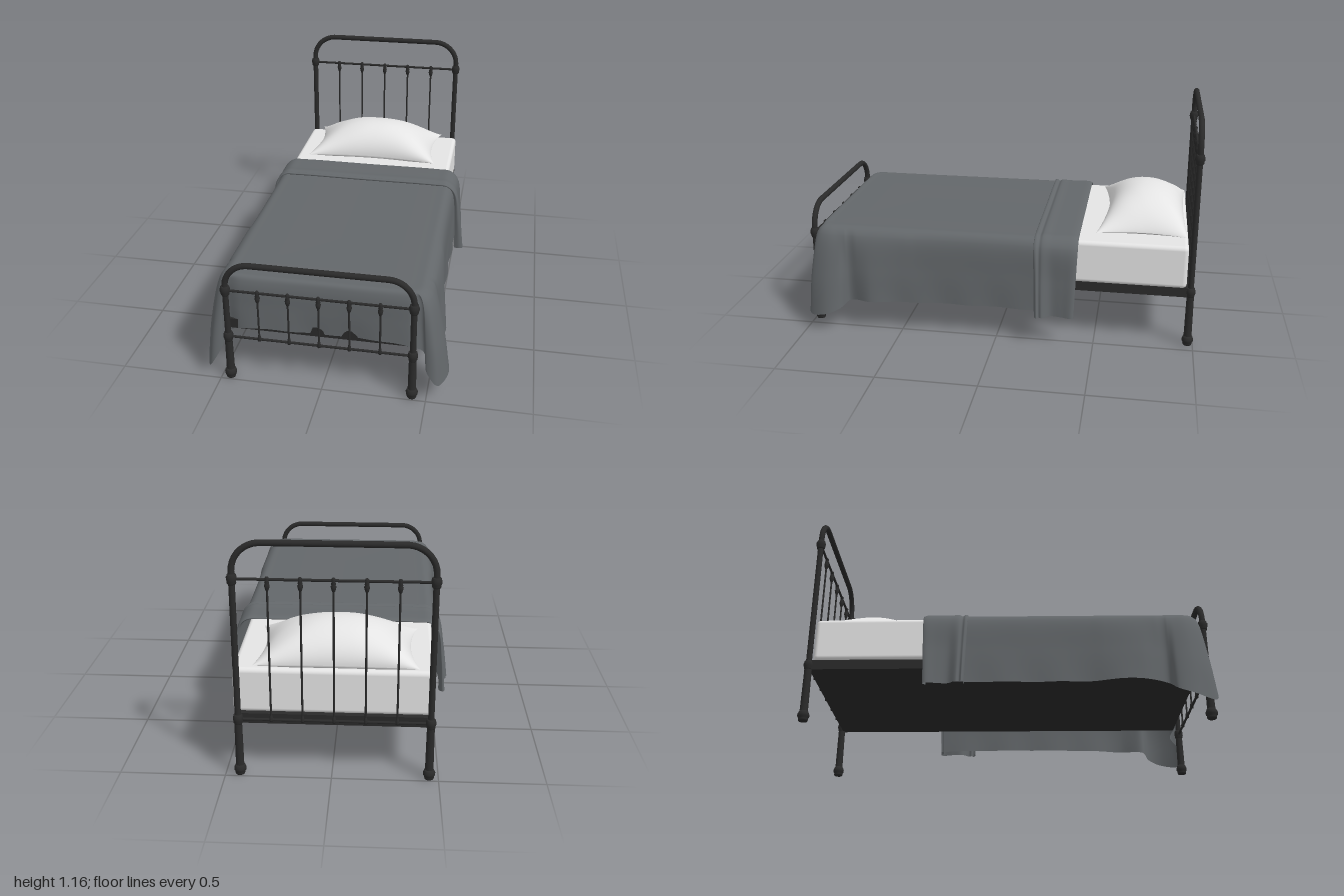
import * as THREE from 'three';
import { RoundedBoxGeometry } from 'three/addons/geometries/RoundedBoxGeometry.js';

const CX = -0.012; // middle of the bedstead
const HALF = 0.444; // post distance from the middle
const V = (x, y, z) => new THREE.Vector3(x, y, z);

const metal = new THREE.MeshStandardMaterial({ name: 'black metal', color: 0x2a2a2a });
const linen = new THREE.MeshStandardMaterial({ name: 'white linen', color: 0xe4e4e4 });
const wool = new THREE.MeshStandardMaterial({ name: 'grey blanket', color: 0x63676a, side: THREE.DoubleSide });

function add(parent, name, geometry, material, x = 0, y = 0, z = 0) {
  const mesh = new THREE.Mesh(geometry, material);
  mesh.name = name;
  mesh.position.set(x, y, z);
  parent.add(mesh);
  return mesh;
}

// Smooth surface from a rule fn(u, v) -> Vector3; faces point along du x dv
function surface(nu, nv, fn) {
  const pos = [], index = [];
  for (let i = 0; i <= nu; i++)
    for (let j = 0; j <= nv; j++) pos.push(...fn(i / nu, j / nv).toArray());
  for (let i = 0; i < nu; i++)
    for (let j = 0; j < nv; j++) {
      const a = i * (nv + 1) + j, b = a + nv + 1;
      index.push(a, b, a + 1, b, b + 1, a + 1);
    }
  const g = new THREE.BufferGeometry();
  g.setAttribute('position', new THREE.Float32BufferAttribute(pos, 3));
  g.setIndex(index);
  g.computeVertexNormals();
  return g;
}

const lathe = (pts, n = 16) => new THREE.LatheGeometry(pts.map(p => new THREE.Vector2(...p)), n);

// Turned fittings
const knuckle = lathe([[0, -0.024], [0.018, -0.024], [0.021, -0.018], [0.021, -0.008], [0.024, -0.004],
  [0.024, 0.01], [0.021, 0.014], [0.021, 0.02], [0.017, 0.024], [0, 0.024]]);
const footKnob = lathe([[0, 0], [0.021, 0], [0.024, 0.008], [0.022, 0.014], [0.028, 0.02], [0.029, 0.032],
  [0.025, 0.042], [0.021, 0.05], [0, 0.05]]);
const finial = lathe([[0.004, -0.055], [0.007, -0.05], [0.011, -0.038], [0.013, -0.026], [0.009, -0.022],
  [0.011, -0.016], [0.009, -0.008], [0.01, 0.006], [0.006, 0.012], [0, 0.013]], 12);
const collar = lathe([[0, -0.011], [0.008, -0.009], [0.01, 0], [0.008, 0.01], [0.006, 0.02], [0.004, 0.026]], 12);

// Head or foot end: bent tube, cross rods, spindles and fittings
function bedEnd(name, z, top, radius, rodY, lowY) {
  const end = new THREE.Group();
  end.name = name;
  end.position.set(CX, 0, z);
  const k = radius * 0.45, bend = top - radius;
  const path = new THREE.CurvePath();
  path.add(new THREE.LineCurve3(V(-HALF, 0.03, 0), V(-HALF, bend, 0)));
  path.add(new THREE.CubicBezierCurve3(V(-HALF, bend, 0), V(-HALF, top - k, 0), V(-HALF + k, top, 0), V(-HALF + radius, top, 0)));
  path.add(new THREE.LineCurve3(V(-HALF + radius, top, 0), V(HALF - radius, top, 0)));
  path.add(new THREE.CubicBezierCurve3(V(HALF - radius, top, 0), V(HALF - k, top, 0), V(HALF, top - k, 0), V(HALF, bend, 0)));
  path.add(new THREE.LineCurve3(V(HALF, bend, 0), V(HALF, 0.03, 0)));
  add(end, 'bentTube', new THREE.TubeGeometry(path, 140, 0.0145, 14), metal);
  for (const s of [-1, 1]) {
    add(end, 'leg', new THREE.CylinderGeometry(0.018, 0.02, lowY - 0.03, 16), metal, s * HALF, lowY / 2 + 0.015);
    add(end, 'footKnob', footKnob, metal, s * HALF);
    add(end, 'upperKnuckle', knuckle, metal, s * HALF, rodY);
    add(end, 'lowerKnuckle', knuckle, metal, s * HALF, lowY);
  }
  for (const y of [rodY, lowY]) {
    const rod = add(end, 'crossRod', new THREE.CylinderGeometry(0.0065, 0.0065, 2 * HALF, 10), metal, 0, y);
    rod.rotation.z = Math.PI / 2;
  }
  for (let i = -2; i <= 2; i++) {
    const x = i * 0.145;
    add(end, 'spindle', new THREE.CylinderGeometry(0.0048, 0.0048, rodY - lowY, 8), metal, x, (rodY + lowY) / 2);
    add(end, 'spindleFinial', finial, metal, x, rodY);
    add(end, 'spindleCollar', collar, metal, x, lowY);
  }
  return end;
}

// Blanket outline, +x half from head to foot: edge x, edge z, hem x, hem y, hem z
const OUTLINE = [
  [0.47, -0.4, 0.525, 0.17, -0.4], [0.47, 0, 0.515, 0.172, 0], [0.47, 0.4, 0.522, 0.17, 0.4],
  [0.47, 0.65, 0.555, 0.17, 0.65], [0.47, 0.78, 0.522, 0.155, 0.77], [0.47, 0.83, 0.578, 0.13, 0.81],
  [0.47, 0.87, 0.592, 0.1, 0.89], [0.46, 0.905, 0.555, 0.085, 0.985], [0.445, 0.915, 0.495, 0.16, 0.98],
  [0.43, 0.92, 0.472, 0.23, 0.93], [0.38, 0.925, 0.4, 0.27, 0.948], [0, 0.925, 0, 0.28, 0.948]];

function blanketGeometry() {
  const mirrored = OUTLINE.slice(0, -1).reverse().map(([ex, ez, hx, hy, hz]) =>
    [-ex, ez, -hx, hy < 0.15 ? hy - 0.025 : hy, hz]);
  const all = [...OUTLINE, ...mirrored];
  const edges = new THREE.CatmullRomCurve3(all.map(p => V(p[0], 0.546, p[1])));
  const hems = new THREE.CatmullRomCurve3(all.map(p => V(p[2], p[3], p[4])));
  const nu = 220;
  const sections = [];
  for (let i = 0; i <= nu; i++) {
    const e = edges.getPoint(i / nu), h = hems.getPoint(i / nu);
    const out = V(h.x - e.x, 0, h.z - e.z);
    const len = out.length();
    out.normalize();
    const shoulder = e.clone().addScaledVector(out, Math.min(0.65 * len, 0.038));
    shoulder.y = 0.51;
    // soft hanging folds
    const wave = 0.005 * Math.sin(h.z * 24 + h.x * 9) + 0.003 * Math.sin(h.x * 31);
    h.addScaledVector(out, wave);
    const mid = shoulder.clone().lerp(h, 0.5).addScaledVector(out, 0.1 * len - wave * 0.5);
    const spine = V(0, 0.55, Math.min(e.z, 0.5));
    const inner = spine.clone().lerp(e, 0.88);
    inner.y = 0.55;
    sections.push(new THREE.CatmullRomCurve3([spine, inner, e, shoulder, mid, h]));
  }
  return surface(nu, 40, (u, v) => sections[Math.round(u * nu)].getPoint(v));
}

// Turned-down band: columns run from head to foot as z, puff, side flare
function foldGeometry() {
  const columns = new THREE.CatmullRomCurve3([
    V(-0.395, -0.008, 0.525), V(-0.412, 0.002, 0.545), V(-0.395, 0.009, 0.555), V(-0.34, 0.01, 0.545),
    V(-0.28, 0.009, 0.54), V(-0.235, 0.011, 0.57), V(-0.218, 0.004, 0.565), V(-0.205, 0.012, 0.575),
    V(-0.192, 0.008, 0.555), V(-0.197, -0.006, 0.525)]);
  return surface(54, 80, (u, v) => {
    const c = columns.getPoint(u), s = v < 0.5 ? -1 : 1;
    const section = new THREE.CatmullRomCurve3([
      V(0, 0.55 + c.y, 0), V(0.4, 0.55 + c.y, 0), V(0.468, 0.545 + c.y, 0), V(0.506 + c.y, 0.51, 0),
      V(0.35 * 0.51 + 0.65 * c.z, 0.34, 0), V(c.z, 0.155 - 0.1 * (c.x + 0.39) * (c.x + 0.2), 0)]);
    const p = section.getPoint(Math.abs(2 * v - 1));
    const taper = THREE.MathUtils.clamp((0.5 - p.y) / 0.35, 0, 1);
    return V(s * p.x, p.y, c.x - 0.1 * taper * (c.x + 0.3));
  });
}

// Pillow half: side 1 is the puffed top, -1 the shallow underside
function pillowGeometry(side) {
  return surface(44, 60, (a, b) => {
    if (side < 0) [a, b] = [b, a];
    // samples crowd toward the seam
    const v = Math.sin((a - 0.5) * Math.PI), u = Math.sin((b - 0.5) * Math.PI);
    const x = 0.382 * u * (1 - 0.1 * (1 - v * v));
    const z = 0.228 * v * (1 - (v > 0 ? 0.2 : 0.07) * (1 - u * u));
    const puff = Math.pow(Math.max(0, 1 - Math.abs(u) ** 2.3), 0.75) * Math.sqrt(Math.max(0, 1 - v * v));
    const wrinkle = 0.006 * Math.sin(9 * u + 5 * v) * Math.abs(u * v) * puff;
    return V(x, side > 0 ? 0.16 * puff + wrinkle : -0.02 * Math.min(1, puff * 3), z);
  });
}

export function createModel() {
  const bed = new THREE.Group();
  bed.name = 'bed';
  bed.add(bedEnd('headboard', -0.974, 1.147, 0.13, 0.98, 0.29));
  bed.add(bedEnd('footboard', 0.974, 0.635, 0.12, 0.492, 0.235));

  // Base and mattress
  add(bed, 'bedBase', new THREE.BoxGeometry(0.91, 0.05, 1.91), metal, CX, 0.29, -0.01);
  add(bed, 'mattress', new RoundedBoxGeometry(0.93, 0.222, 1.86, 5, 0.022), linen, -0.008, 0.425, -0.022);

  // Bedding
  const pillow = new THREE.Group();
  pillow.name = 'pillow';
  pillow.position.set(-0.018, 0.55, -0.718);
  add(pillow, 'pillowTop', pillowGeometry(1), linen);
  add(pillow, 'pillowUnderside', pillowGeometry(-1), linen);
  bed.add(pillow);
  add(bed, 'blanket', blanketGeometry(), wool);
  add(bed, 'blanketFold', foldGeometry(), wool);
  return bed;
}
